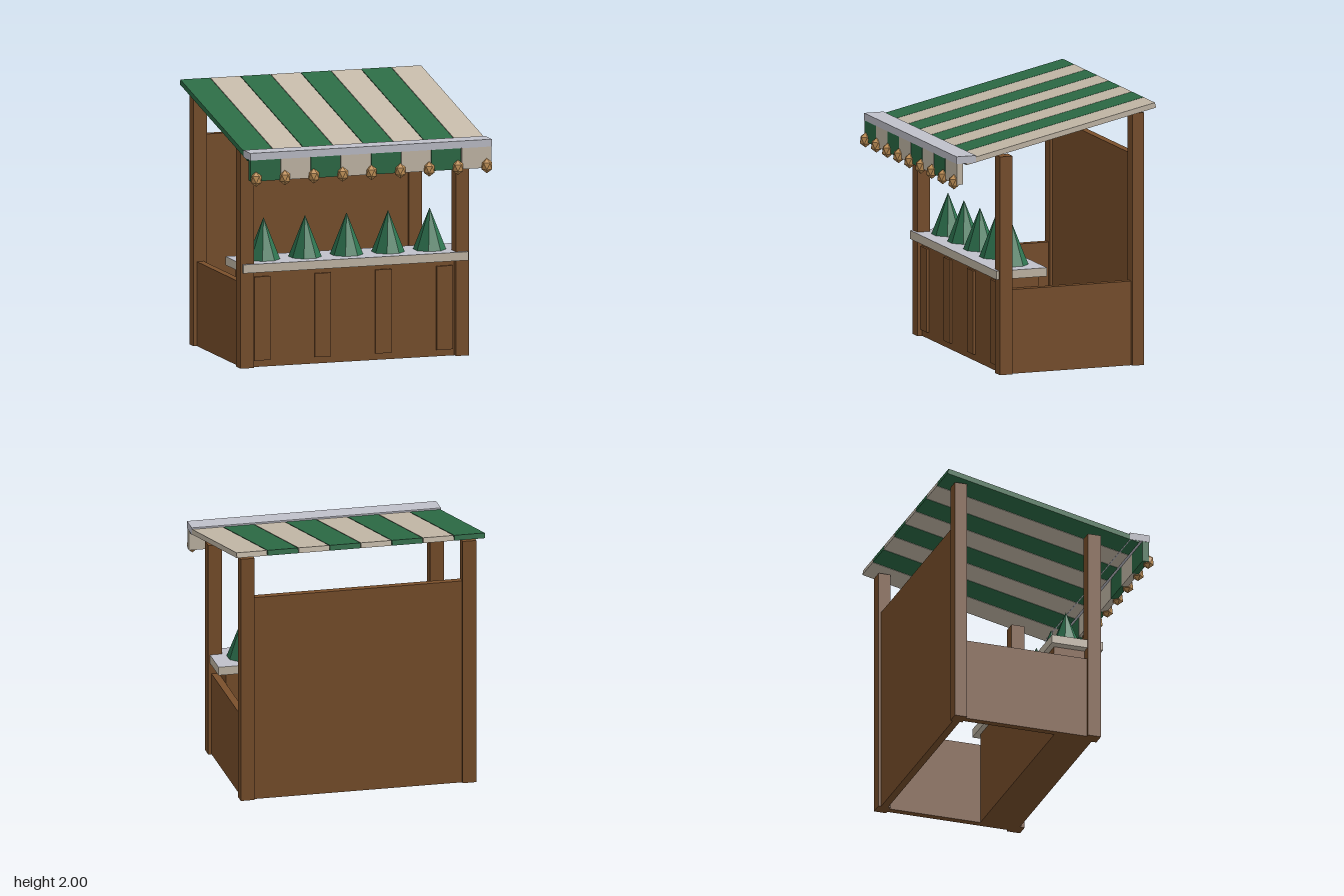
import * as THREE from 'three';

const material = (name, color) => {
  const m = new THREE.MeshStandardMaterial({ color });
  m.name = name;
  return m;
};

export function createModel() {
  const stall = new THREE.Group();
  stall.name = 'marketStall';

  const wood = material('brown wood', 0x7a502c);
  const cream = material('cream', 0xc6bbaa);
  const green = material('awning green', 0x2c6c46);
  const snow = material('snow', 0xc0c1cb);
  const fir = material('fir green', 0x2e7450);
  const gold = material('gold', 0xc8965a);
  fir.flatShading = true;
  gold.flatShading = true;

  const add = (name, geometry, mat, parent = stall) => {
    const mesh = new THREE.Mesh(geometry, mat);
    mesh.name = name;
    parent.add(mesh);
    return mesh;
  };
  // Box given by its lower and upper limits on each axis
  const box = (name, [x0, x1], [y0, y1], [z0, z1], mat) => {
    const mesh = add(name, new THREE.BoxGeometry(x1 - x0, y1 - y0, z1 - z0), mat);
    mesh.position.set((x0 + x1) / 2, (y0 + y1) / 2, (z0 + z1) / 2);
    return mesh;
  };

  // Corner posts and low side walls
  for (const [side, s] of [['left', 1], ['right', -1]]) {
    const span = (a, b) => (s > 0 ? [a, b] : [-b, -a]);
    box(side + 'FrontPost', span(0.8, 0.905), [0, 1.66], [0.31, 0.413], wood);
    box(side + 'BackPost', span(0.8, 0.905), [0, 1.92], [-0.745, -0.65], wood);
    box(side + 'Wall', span(0.825, 0.88), [0, 0.64], [-0.65, 0.31], wood);
  }
  box('backWall', [-0.8, 0.8], [0, 1.6], [-0.725, -0.67], wood);

  // Counter with raised planks and a snowy top face
  box('counterBody', [-0.825, 0.825], [0, 0.725], [0.07, 0.375], wood);
  for (const x of [-0.725, -0.245, 0.235, 0.72]) {
    box('counterPlank', [x - 0.064, x + 0.064], [0.05, 0.685], [0.37, 0.392], wood);
  }
  box('counterTop', [-0.892, 0.892], [0.725, 0.79], [0.03, 0.435],
    [cream, cream, snow, cream, cream, cream]);

  // Small fir trees on the counter
  const treeGeometry = new THREE.ConeGeometry(0.125, 0.315, 8, 1);
  treeGeometry.rotateY(Math.PI / 8);
  for (let i = -2; i <= 2; i++) {
    add('firTree', treeGeometry, fir).position.set(i * 0.329, 0.947, 0.222);
  }

  // Sloping striped awning with a hanging valance
  const awning = new THREE.Group();
  awning.name = 'awning';
  awning.position.set(0, 1.8125, -0.057);
  awning.rotation.x = 0.217;
  stall.add(awning);
  for (let i = 0; i < 8; i++) {
    const x = (i - 3.5) * 0.239;
    const mat = i % 2 ? cream : green;
    add('awningStripe', new THREE.BoxGeometry(0.234, 0.04, 1.556), mat, awning).position.x = x;
    box('valanceStripe', [x - 0.117, x + 0.117], [1.48, 1.645], [0.727, 0.777], mat);
  }
  box('snowyAwningEdge', [-0.957, 0.957], [1.64, 1.695], [0.625, 0.78], snow);

  // Row of faceted baubles with a vertex pointing up
  const baubleGeometry = new THREE.IcosahedronGeometry(1, 0);
  baubleGeometry.rotateZ(-Math.atan(2 / (1 + Math.sqrt(5))));
  baubleGeometry.scale(0.046, 0.057, 0.046);
  for (let i = -4; i <= 4; i++) {
    add('bauble', baubleGeometry, gold).position.set(i * 0.2285, 1.497, 0.785);
  }

  return stall;
}
